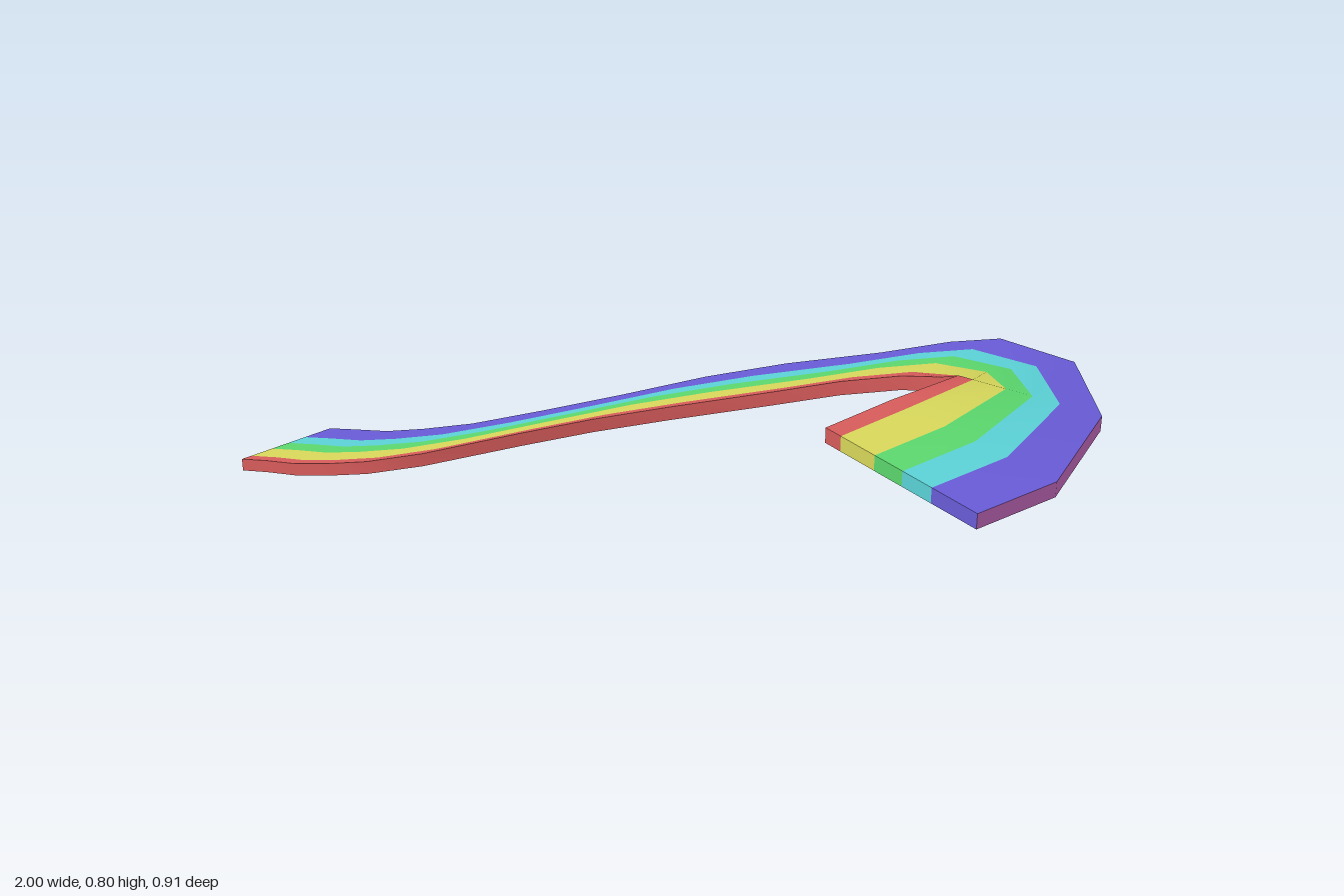
import * as THREE from 'three';

const THICKNESS = 0.03;

// Cross-sections along the ribbon: inner edge x, y, z, then outer edge x, y, z
const SECTIONS = [
  [-1, 0.03, 0.457, -1, 0.03, 0.23],
  [-0.88, 0.085, 0.455, -0.88, 0.085, 0.23],
  [-0.75, 0.14, 0.45, -0.75, 0.14, 0.22],
  [-0.63, 0.195, 0.437, -0.63, 0.195, 0.195],
  [-0.5, 0.255, 0.41, -0.5, 0.255, 0.15],
  [-0.38, 0.31, 0.345, -0.37, 0.315, 0.05],
  [-0.23, 0.38, 0.2, -0.25, 0.37, -0.06],
  [-0.12, 0.43, 0.1, -0.13, 0.425, -0.19],
  [0, 0.48, 0, 0, 0.48, -0.295],
  [0.18, 0.56, -0.11, 0.18, 0.555, -0.39],
  [0.32, 0.63, -0.165, 0.32, 0.625, -0.44],
  [0.45, 0.69, -0.2, 0.44, 0.68, -0.457],
  [0.56, 0.74, -0.195, 0.65, 0.73, -0.44],
  [0.65, 0.8, -0.15, 0.87, 0.775, -0.285],
  [0.645, 0.8, 0, 1, 0.795, -0.05],
  [0.65, 0.8, 0.15, 1, 0.8, 0.125],
];

const COLOURS = {
  red: 0xd95c5c,
  yellow: 0xd9d95c,
  green: 0x5cd96e,
  cyan: 0x5cd4d9,
  blue: 0x6a5cd9,
  pink: 0xd070c8,
};

// Fractions of the width, from the inner edge, where each band ends
const TOP_BANDS = { red: 0.105, yellow: 0.335, green: 0.52, cyan: 0.71, blue: 1 };
const UNDER_BANDS = { red: 0.1, yellow: 0.36, green: 0.535, cyan: 0.7, blue: 0.925, pink: 1 };

// Surface between two matching rows of points
function strip(name, a, b, mat) {
  const positions = [];
  const index = [];
  a.forEach((p, i) => {
    positions.push(...p.toArray(), ...b[i].toArray());
    if (i > 0) {
      const k = 2 * (i - 1);
      index.push(k, k + 2, k + 1, k + 2, k + 3, k + 1);
    }
  });
  const geometry = new THREE.BufferGeometry();
  geometry.setAttribute('position', new THREE.Float32BufferAttribute(positions, 3));
  geometry.setIndex(index);
  geometry.computeVertexNormals();
  const mesh = new THREE.Mesh(geometry, mat);
  mesh.name = name;
  return mesh;
}

// Lengthwise row of points at a fraction of the width
function row(f) {
  return SECTIONS.map(([x, y, z, X, Y, Z]) =>
    new THREE.Vector3(x, y, z).lerp(new THREE.Vector3(X, Y, Z), f));
}

function lowered(points) {
  return points.map((p) => new THREE.Vector3(p.x, p.y - THICKNESS, p.z));
}

// Underside row: starts at deck level behind the lower end lip
function underRow(f) {
  const points = row(f);
  return [points[0], ...lowered(points.slice(1))];
}

function eachBand(bands, build) {
  let start = 0;
  for (const [name, end] of Object.entries(bands)) {
    build(name, start, end);
    start = end;
  }
}

export function createModel() {
  const group = new THREE.Group();
  group.name = 'rainbowRamp';
  const last = SECTIONS.length - 1;
  const mats = {};
  for (const [name, color] of Object.entries(COLOURS)) {
    mats[name] = new THREE.MeshStandardMaterial({ name, color, side: THREE.DoubleSide });
  }

  // Deck and upper end face
  eachBand(TOP_BANDS, (name, start, end) => {
    const a = row(start);
    const b = row(end);
    const edge = [a[last], b[last]];
    group.add(strip(`${name}DeckBand`, a, b, mats[name]));
    group.add(strip(`${name}UpperEnd`, lowered(edge), edge, mats[name]));
  });

  // Underside and lower end lip
  eachBand(UNDER_BANDS, (name, start, end) => {
    const edge = [row(end)[0], row(start)[0]];
    group.add(strip(`${name}UndersideBand`, underRow(end), underRow(start), mats[name]));
    group.add(strip(`${name}LowerEnd`, lowered(edge), edge, mats[name]));
  });

  // Side faces
  const inner = row(0);
  const outer = row(1);
  group.add(strip('innerSide', lowered(inner), inner, mats.red));
  group.add(strip('outerSide', outer, lowered(outer), mats.pink));
  return group;
}
